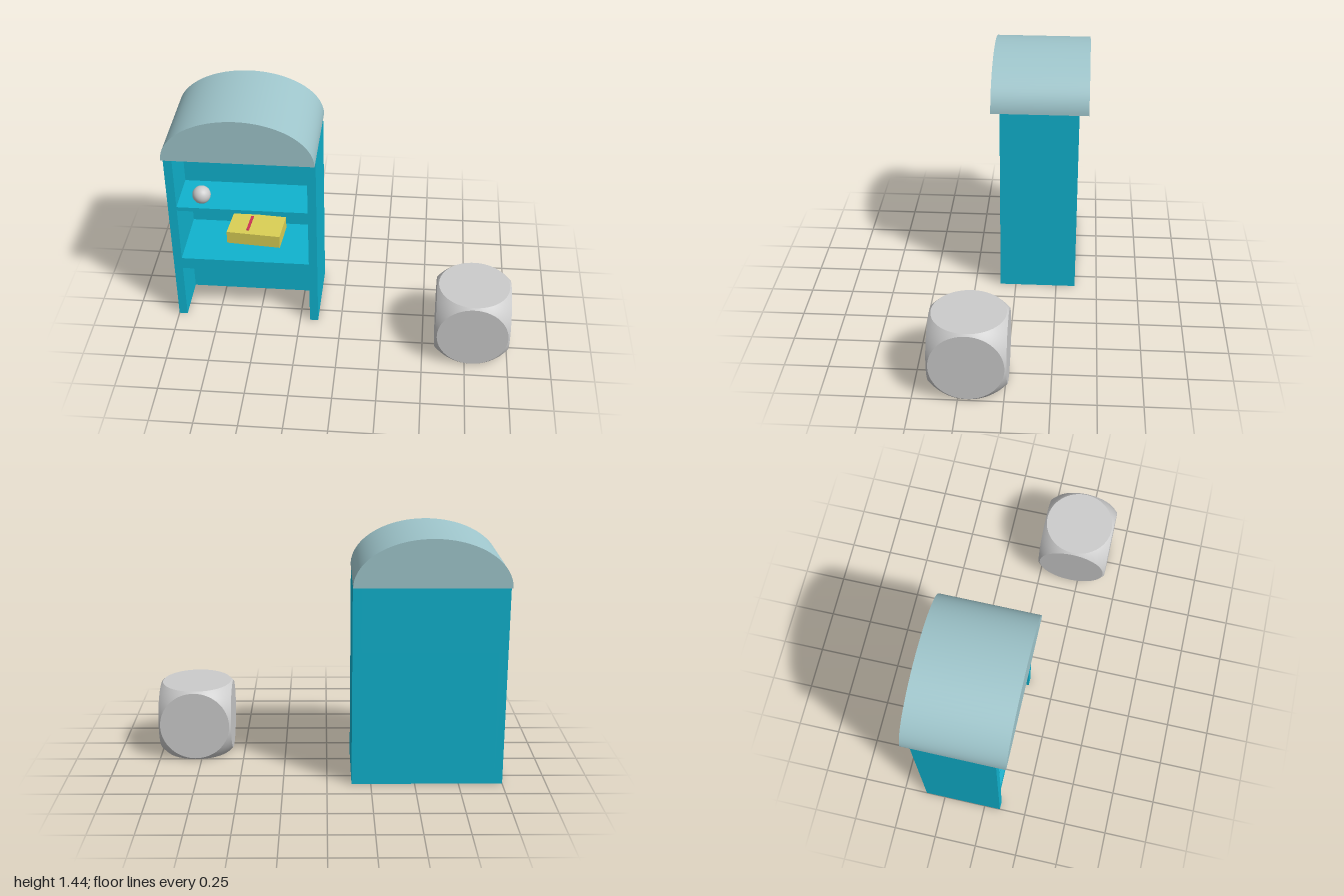
import * as THREE from 'three';
import { toCreasedNormals } from 'three/addons/utils/BufferGeometryUtils.js';

const paint = (color) => new THREE.MeshStandardMaterial({ color });
const teal = paint(0x10b3cf);
const paleTeal = paint(0x9fc6cc);
const yellow = paint(0xdbd055);
const red = paint(0xcc3355);
const grey = paint(0xcccccc);

// Box given by its lower and upper limits on each axis
function boxBetween(name, material, [x0, x1], [y0, y1], [z0, z1]) {
  const mesh = new THREE.Mesh(new THREE.BoxGeometry(x1 - x0, y1 - y0, z1 - z0), material);
  mesh.name = name;
  mesh.position.set((x0 + x1) / 2, (y0 + y1) / 2, (z0 + z1) / 2);
  return mesh;
}

// Open-fronted cabinet: side walls, shelves and a back of varying thickness
function createCabinet() {
  const cabinet = new THREE.Group();
  cabinet.name = 'cabinet';
  const [left, right, wall, back, front, top] = [-1, -0.14, 0.05, -0.365, 0.095, 1.165];
  const inside = [left + wall, right - wall];
  cabinet.add(
    boxBetween('rightWall', teal, [left, left + wall], [0, top], [back, front]),
    boxBetween('leftWall', teal, [right - wall, right], [0, top], [back, front]),
    boxBetween('lowerShelf', teal, inside, [0.36, 0.435], [back, front]),
    boxBetween('upperShelf', teal, inside, [0.785, 0.81], [back, front]),
    boxBetween('lowerBack', teal, inside, [0, 0.36], [back, -0.18]),
    boxBetween('middleBack', teal, inside, [0.435, 0.785], [back, -0.295]),
    boxBetween('upperBack', teal, inside, [0.81, top], [back, -0.18]),
  );
  return cabinet;
}

// Half-elliptical roof overhanging front and back
function createRoof() {
  const shape = new THREE.Shape();
  shape.absellipse(0, 0, 0.43, 0.27, 0, Math.PI, false, 0);
  shape.closePath();
  const geometry = new THREE.ExtrudeGeometry(shape, { depth: 0.568, bevelEnabled: false, curveSegments: 24 });
  const roof = new THREE.Mesh(toCreasedNormals(geometry, 0.5), paleTeal);
  roof.name = 'roof';
  roof.position.set(-0.57, 1.165, -0.42);
  return roof;
}

// Slightly turned book with a ribbon on its cover
function createBook() {
  const book = new THREE.Group();
  book.name = 'book';
  const block = new THREE.Mesh(new THREE.BoxGeometry(0.32, 0.08, 0.2), yellow);
  block.name = 'bookBlock';
  const ribbon = new THREE.Mesh(new THREE.BoxGeometry(0.016, 0.006, 0.14), red);
  ribbon.name = 'ribbon';
  ribbon.position.set(-0.04, 0.042, -0.005);
  book.add(block, ribbon);
  book.position.set(-0.522, 0.53, -0.093);
  book.rotation.y = -0.08;
  return book;
}

// Sphere cut flat on six sides: each side is a disc plus the curved patch around it
function createRoundedCube() {
  const half = 0.215, discRadius = 0.205;
  const radius = Math.hypot(half, discRadius);
  const disc = new THREE.CircleGeometry(discRadius, 96);
  disc.translate(0, 0, half);

  // Spread a flat ring from the disc edge out to the cube edges, on the sphere
  const patch = new THREE.RingGeometry(1, 2, 96, 6);
  const { position, normal } = patch.attributes;
  const v = new THREE.Vector3(), edge = new THREE.Vector3();
  for (let i = 0; i < position.count; i++) {
    v.fromBufferAttribute(position, i);
    const t = Math.hypot(v.x, v.y) - 1;
    const c = v.x / (1 + t), s = v.y / (1 + t);
    const reach = half / Math.max(Math.abs(c), Math.abs(s));
    edge.set(c * reach, s * reach, half).setLength(radius);
    v.set(c * discRadius, s * discRadius, half).lerp(edge, t).normalize();
    normal.setXYZ(i, v.x, v.y, v.z);
    position.setXYZ(i, v.x * radius, v.y * radius, v.z * radius);
  }

  const cube = new THREE.Group();
  cube.name = 'roundedCube';
  const q = Math.PI / 2;
  const turns = [[0, 0], [0, q], [0, 2 * q], [0, -q], [q, 0], [-q, 0]];
  for (const [rx, ry] of turns) {
    const side = new THREE.Group();
    side.name = 'cubeSide';
    const face = new THREE.Mesh(disc, grey);
    face.name = 'flatFace';
    const curve = new THREE.Mesh(patch, grey);
    curve.name = 'curvedPatch';
    side.add(face, curve);
    side.rotation.set(rx, ry, 0);
    cube.add(side);
  }
  cube.position.set(0.785, half, 0.2);
  return cube;
}

export function createModel() {
  const model = new THREE.Group();
  model.name = 'cabinetAndCube';
  // Ball resting on the upper shelf
  const ball = new THREE.Mesh(new THREE.SphereGeometry(0.053, 32, 20), grey);
  ball.name = 'ball';
  ball.position.set(-0.81, 0.865, 0.035);
  model.add(createCabinet(), createRoof(), createBook(), ball, createRoundedCube());
  return model;
}
